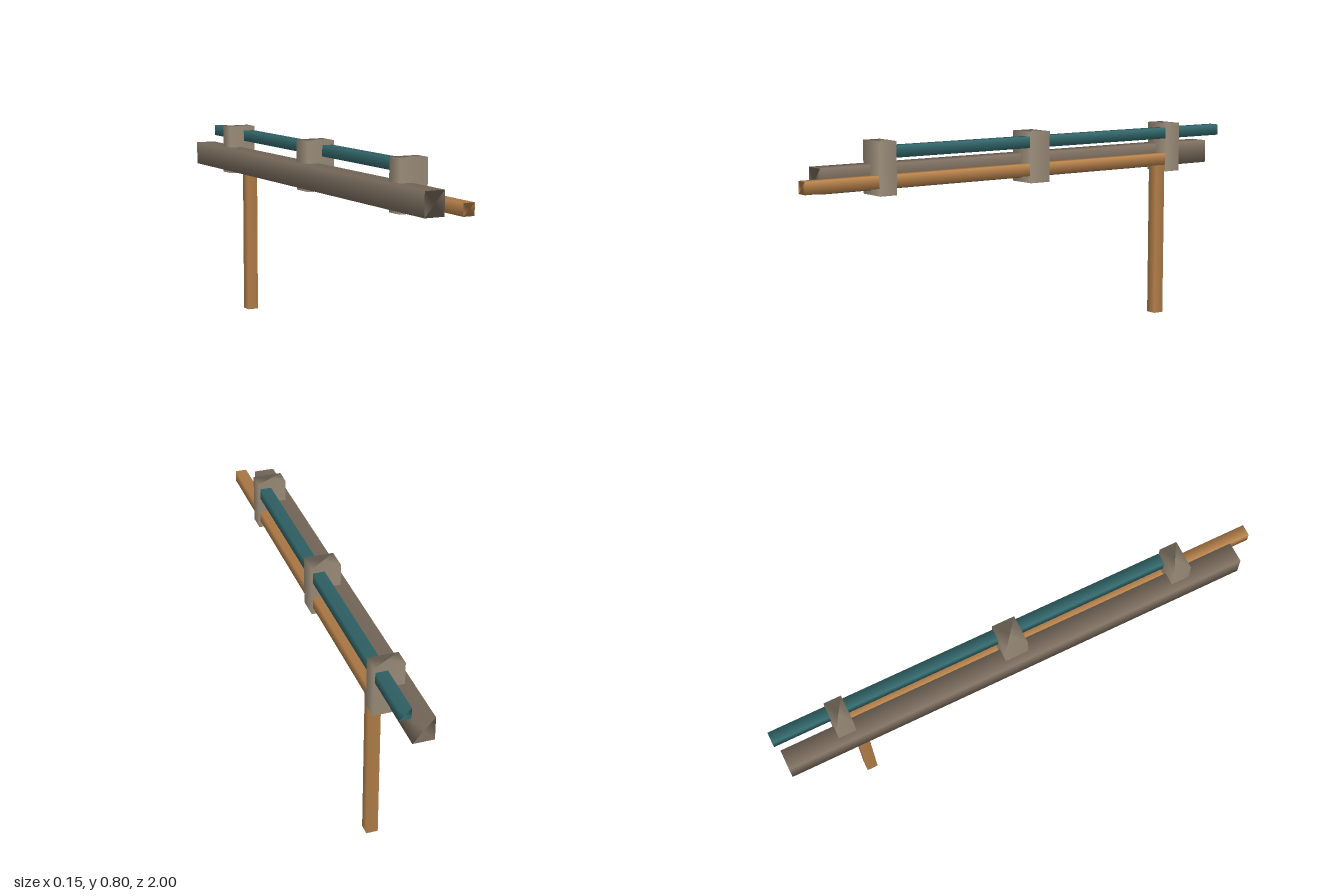
import * as THREE from 'three';

const COLORS = { rail: 0x7d6f60, wood: 0xb9834c, steel: 0x33686c, clamp: 0xa39480 };

// Four-sided capped bar running along y, with soft normals pointing out from its axis.
function squareBar(width, length, depth) {
  const r = Math.SQRT1_2;
  const profile = [[0, -0.5], [r, -0.5], [r, 0.5], [0, 0.5]].map(p => new THREE.Vector2(...p));
  const geo = new THREE.LatheGeometry(profile, 4, Math.PI / 4);
  geo.scale(width, length, depth);
  const normal = geo.attributes.normal;
  for (let i = 0; i < normal.count; i++) {
    const angle = Math.PI / 4 + Math.floor(i / profile.length) * Math.PI / 2;
    normal.setXYZ(i, Math.sin(angle), 0, Math.cos(angle));
  }
  return geo;
}

// Bar filling the given ranges; axis is 'y' (upright) or 'z' (lengthwise).
function bar(name, color, axis, [x0, x1], [y0, y1], [z0, z1]) {
  const w = x1 - x0, h = y1 - y0, d = z1 - z0;
  const geo = axis === 'y' ? squareBar(w, h, d) : squareBar(w, d, h).rotateX(Math.PI / 2);
  const mesh = new THREE.Mesh(geo, new THREE.MeshStandardMaterial({ color }));
  mesh.name = name;
  mesh.position.set((x0 + x1) / 2, (y0 + y1) / 2, (z0 + z1) / 2);
  return mesh;
}

export function createModel() {
  const group = new THREE.Group();
  group.name = 'clampedRails';

  // Lengthwise bars
  group.add(
    bar('mainRail', COLORS.rail, 'z', [-0.075, 0.007], [0.617, 0.711], [-0.985, 0.905]),
    bar('lowerRod', COLORS.wood, 'z', [0.02, 0.066], [0.628, 0.675], [-0.71, 1]),
    bar('upperRod', COLORS.steel, 'z', [0.02, 0.066], [0.738, 0.782], [-1, 0.615])
  );

  // Upright post under the lower rod
  group.add(bar('post', COLORS.wood, 'y', [0.015, 0.061], [0, 0.635], [-0.702, -0.657]));

  // Clamps holding the bars together
  const clamps = { frontClamp: [0.622, 0.694], middleClamp: [-0.086, 0.006], rearClamp: [-0.772, -0.702] };
  for (const [name, z] of Object.entries(clamps)) {
    group.add(bar(name, COLORS.clamp, 'y', [-0.045, 0.072], [0.6, 0.8], z));
  }
  return group;
}
